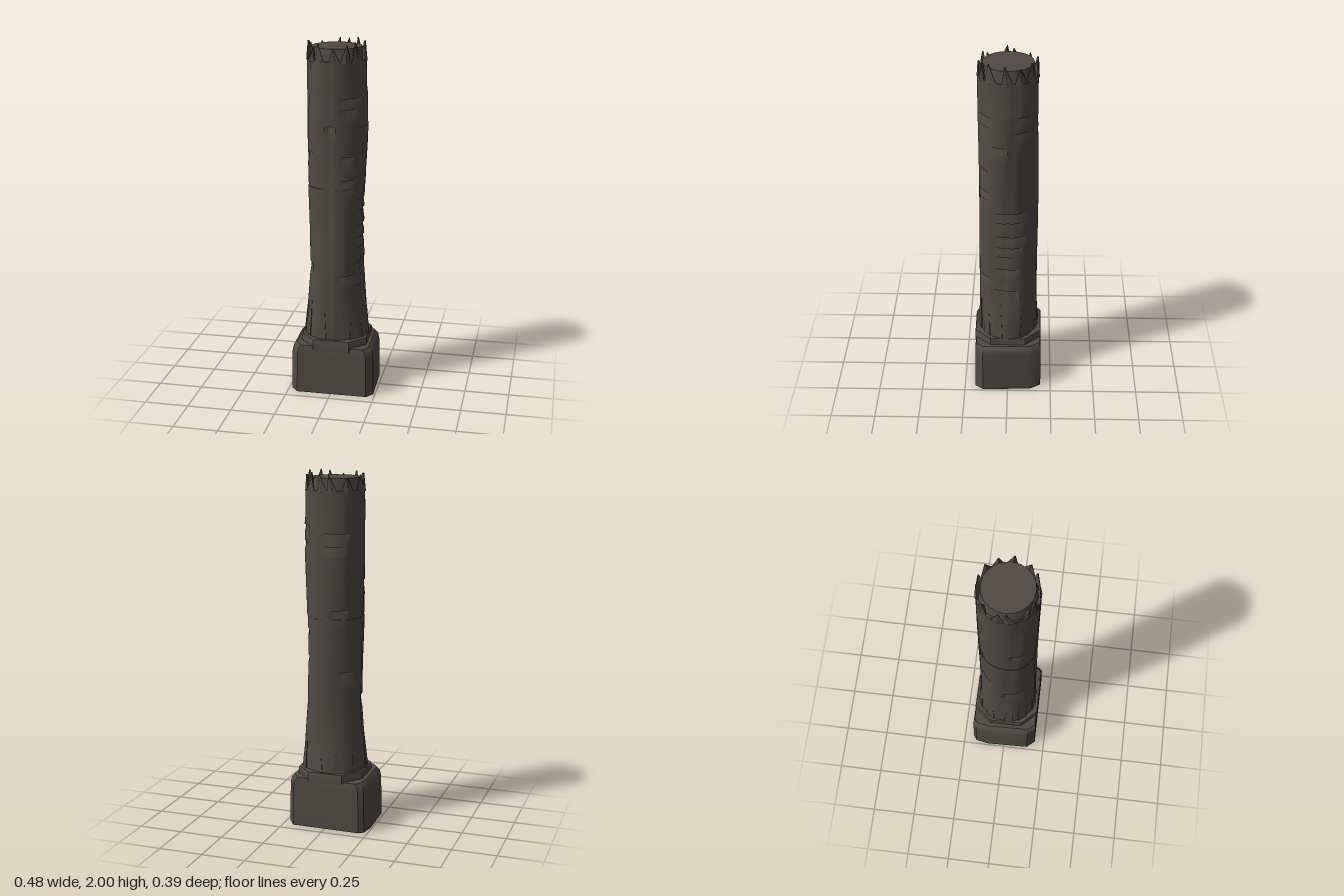
import * as THREE from 'three';
import { toCreasedNormals } from 'three/addons/utils/BufferGeometryUtils.js';

// Skin a stack of rings (arrays of [x, y, z], turning from +x to +z) and close both ends
function loft(rings, crease) {
  const n = rings[0].length, pos = [], idx = [];
  rings.forEach(r => r.forEach(p => pos.push(...p)));
  for (let j = 0; j < rings.length - 1; j++) {
    for (let i = 0; i < n; i++) {
      const k = (i + 1) % n, a = j * n, b = a + n;
      idx.push(a + i, b + i, b + k, a + i, b + k, a + k);
    }
  }
  const last = (rings.length - 1) * n;
  for (let i = 1; i < n - 1; i++) {
    idx.push(0, i, i + 1);
    idx.push(last, last + i + 1, last + i);
  }
  const g = new THREE.BufferGeometry();
  g.setAttribute('position', new THREE.Float32BufferAttribute(pos, 3));
  g.setIndex(idx);
  return toCreasedNormals(g, crease);
}

function seeded(seed) {
  return () => {
    seed = (seed * 16807) % 2147483647;
    return seed / 2147483647;
  };
}

// Linear lookup in a list of [y, value]
function lookup(table, y) {
  for (let i = 1; i < table.length; i++) {
    const [y0, v0] = table[i - 1], [y1, v1] = table[i];
    if (y <= y1) return THREE.MathUtils.lerp(v0, v1, Math.max(0, (y - y0) / (y1 - y0)));
  }
  return table[table.length - 1][1];
}

// Half widths of the shaft in x and z
const WIDTH_X = [[0.3, 0.186], [0.45, 0.172], [0.7, 0.152], [0.95, 0.153], [1.2, 0.158], [1.5, 0.168], [1.7, 0.166], [1.9, 0.161]];
const WIDTH_Z = [[0.3, 0.172], [0.5, 0.165], [1.0, 0.163], [1.9, 0.163]];

// Weathering gouges: [top y, height, angle, half angle, depth]
const GOUGES = [
  [1.13, 0.05, -0.1, 0.55, 0.010], [1.07, 0.07, 0.0, 0.45, 0.010], [0.98, 0.05, -0.1, 0.50, 0.012],
  [0.91, 0.05, 0.0, 0.50, 0.010], [0.85, 0.06, 0.1, 0.35, 0.010], [0.77, 0.06, 0.1, 0.40, 0.010],
  [0.63, 0.20, 0.1, 0.45, 0.010], [0.70, 0.06, 1.05, 0.35, 0.010],
  [1.70, 0.05, 0.95, 0.30, 0.010], [1.64, 0.06, 1.0, 0.25, 0.010], [1.38, 0.06, 1.1, 0.2, 0.010],
  [1.25, 0.05, 1.0, 0.22, 0.010], [1.20, 0.05, 1.05, 0.2, 0.008], [1.55, 0.08, 1.65, 0.15, 0.012],
  [1.71, 0.05, -0.6, 0.3, 0.010], [1.62, 0.05, -0.5, 0.25, 0.010], [1.54, 0.05, 0.3, 0.25, 0.010],
  [1.67, 0.06, -1.9, 0.35, 0.010], [1.60, 0.05, -1.8, 0.3, 0.010], [1.25, 0.07, -2.0, 0.25, 0.010],
  [0.90, 0.06, -2.3, 0.25, 0.010], [1.40, 0.06, 2.7, 0.3, 0.010], [0.75, 0.07, 2.9, 0.3, 0.010],
];

function shaftPoint(a, y) {
  const wrap = t => Math.atan2(Math.sin(t), Math.cos(t));
  // slow waves plus two long winding creases
  let d = 0.003 * Math.sin(3 * a + 5 * y) + 0.002 * Math.sin(5 * a - 4 * y);
  for (const c of [-0.15 + 0.35 * (1.5 - y), 1.65, 3.4 - 0.4 * y]) {
    d -= 0.007 * Math.exp(-((wrap(a - c) / 0.09) ** 2));
  }
  for (const [top, h, angle, half, depth] of GOUGES) {
    const t = (top - y) / h;
    if (t >= 0 && t <= 1 && Math.abs(wrap(a - angle)) < half) d -= depth * (1 - t);
  }
  const lean = y > 1.2 && y < 1.75 ? 0.003 : 0;
  return [lean + (lookup(WIDTH_X, y) + d) * Math.cos(a), y, (lookup(WIDTH_Z, y) + d) * Math.sin(a)];
}

function makeShaft() {
  const ys = [];
  for (let y = 0.31; y < 1.9; y += 0.03) ys.push(y);
  ys.push(1.9);
  for (const g of GOUGES) ys.push(g[0], g[0] + 0.001);
  ys.sort((p, q) => p - q);
  const n = 48;
  return loft(ys.map(y => Array.from({ length: n }, (_, i) => shaftPoint(i / n * Math.PI * 2, y))), 0.5);
}

// Plinth outline with unevenly cut corners
const PLINTH = [[0.19, -0.192], [0.232, -0.13], [0.24, 0.145], [0.205, 0.19],
  [-0.195, 0.193], [-0.235, 0.145], [-0.242, -0.1], [-0.228, -0.175], [-0.2, -0.195]];
const COLLAR = [[0.188, -0.1], [0.19, 0.1], [0.105, 0.19], [-0.1, 0.191],
  [-0.185, 0.1], [-0.187, -0.09], [-0.1, -0.19], [0.1, -0.19]];

export function createModel() {
  const model = new THREE.Group();
  const stone = new THREE.MeshStandardMaterial({ color: 0x4f4a45 });
  stone.name = 'dark stone';
  const add = (name, geometry, parent = model) => {
    const mesh = new THREE.Mesh(geometry, stone);
    mesh.name = name;
    parent.add(mesh);
    return mesh;
  };

  const slab = (outline, levels) =>
    loft(levels.map(([y, sx, sz]) => outline.map(([x, z]) => [x * sx, y, z * sz])), 0.6);
  add('plinth', slab(PLINTH, [[0, 1, 1], [0.23, 0.98, 0.99], [0.265, 0.95, 0.985], [0.285, 0.87, 0.96]]));
  add('collar', slab(COLLAR, [[0.26, 1, 1], [0.315, 1, 1], [0.325, 0.98, 0.98]]));
  add('shaft', makeShaft());

  // Broken top: a flat core ringed by sharp splinters
  const core = new THREE.CylinderGeometry(0.138, 0.152, 0.075, 20);
  add('brokenTop', toCreasedNormals(core, 0.5)).position.y = 1.928;

  const rand = seeded(41);
  const splinters = new THREE.Group();
  splinters.name = 'splinters';
  model.add(splinters);
  const count = 13;
  for (let i = 0; i < count; i++) {
    const a = (i + 0.3 * rand()) / count * Math.PI * 2;
    const half = 0.17 + 0.08 * rand(), tip = 1.965 + 0.033 * rand();
    const at = (angle, r, y) => [r * Math.cos(angle), y, r * Math.sin(angle)];
    const base = [at(a - half, 0.161, 1.89), at(a, 0.167, 1.89), at(a + half, 0.161, 1.89), at(a, 0.128, 1.89)];
    const skew = a + (rand() - 0.5) * 0.3;
    const top = [at(skew - 0.015, 0.157, tip), at(skew, 0.16, tip), at(skew + 0.015, 0.157, tip), at(skew, 0.15, tip)];
    // same turning direction as the other rings: outer side, then inner point
    add('splinter', loft([base, top], 0.2), splinters);
  }
  // Flared roots of the shaft above the collar
  for (const a of [0.35, 0.8, 1.3, 1.9, 2.5, 3.0, 3.7, 4.3, 5.0, 5.7]) {
    const at = (angle, grow, y) => {
      const [x, , z] = shaftPoint(angle, y);
      return [x * grow, y, z * grow];
    };
    const ring = (y, half, grow) => [at(a - half, grow, y), at(a + half, grow, y), at(a + half, 0.9, y), at(a - half, 0.9, y)];
    add('root', loft([ring(0.32, 0.17, 1.03), ring(0.45 + 0.15 * rand(), 0.07, 0.99)], 0.3));
  }
  return model;
}
